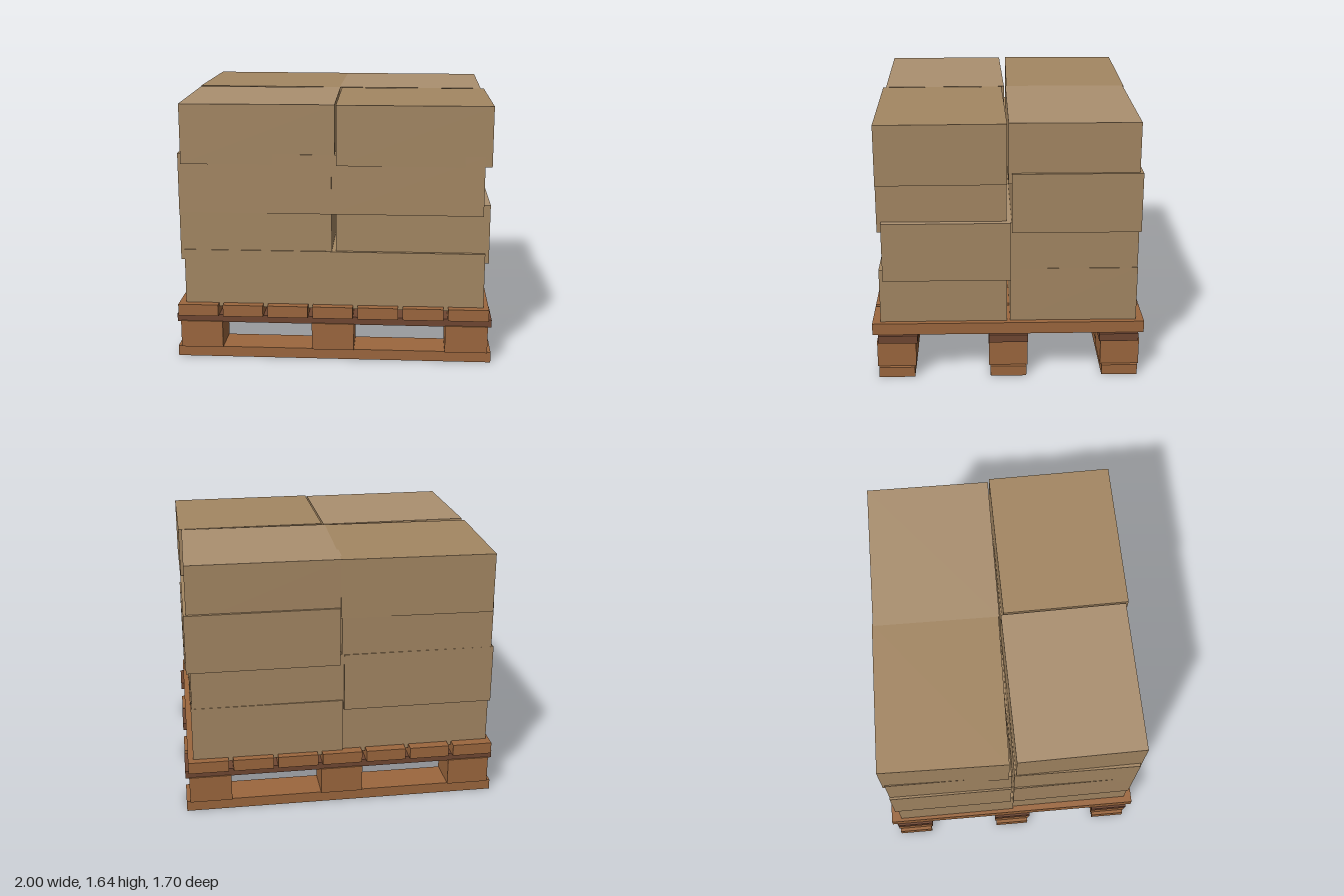
import * as THREE from 'three';

const wood = new THREE.MeshStandardMaterial({ color: 0x9c673e });
const darkWood = new THREE.MeshStandardMaterial({ color: 0x704732 });
const card = new THREE.MeshStandardMaterial({ color: 0xa48763 });
const lightCard = new THREE.MeshStandardMaterial({ color: 0xab9070 });

function box(name, size, position, material, turn = 0) {
  const mesh = new THREE.Mesh(new THREE.BoxGeometry(...size), material);
  mesh.name = name;
  mesh.position.set(...position);
  mesh.rotation.y = turn;
  return mesh;
}

// Three runners, each with blocks and a crossing board, under seven deck planks
function createPallet() {
  const pallet = new THREE.Group();
  pallet.name = 'pallet';
  for (const side of [-1, 0, 1]) {
    const z = side * 0.702;
    pallet.add(box('bottomRunner', [2, 0.067, 0.225], [0, 0.0335, z], wood));
    for (const x of [-0.843, -0.003, 0.843]) {
      pallet.add(box('block', [0.268, 0.175, 0.243], [x, 0.1525, z], wood));
    }
    pallet.add(box('stringerBoard', [2, 0.05, 0.245], [0, 0.26, side * 0.692], darkWood));
  }
  for (let i = 0; i < 7; i++) {
    pallet.add(box('deckPlank', [0.255, 0.075, 1.7], [(i - 3) * 0.285 - 0.003, 0.3225, 0], wood));
  }
  return pallet;
}

// Slightly misaligned cartons per layer: [x, z, turn, light top]
const LAYERS = [
  [[0.468, 0.405, 0.002], [-0.466, 0.403, 0.003], [0.466, -0.409, -0.005], [-0.485, -0.39, 0.004]],
  [[0.493, 0.381, 0.003, true], [-0.491, 0.396, 0.008], [0.463, -0.403, 0.004], [-0.495, -0.408, 0.003]],
  [[0.453, 0.405, -0.003], [-0.487, 0.403, -0.006], [0.486, -0.415, 0.002], [-0.482, -0.405, -0.003]],
  [[0.49, 0.41, 0.0125], [-0.475, 0.405, 0.014, true], [0.467, -0.398, -0.006, true], [-0.48, -0.415, -0.018]],
];

function createCartons() {
  const cartons = new THREE.Group();
  cartons.name = 'cartons';
  LAYERS.forEach((layer, i) => {
    for (const [x, z, turn, light] of layer) {
      const top = light ? lightCard : card;
      const faces = [card, card, top, card, card, card];
      cartons.add(box('carton', [0.955, 0.375, 0.79], [x, 0.5225 + i * 0.309, z], faces, turn));
    }
  });
  return cartons;
}

export function createModel() {
  const model = new THREE.Group();
  model.name = 'loadedPallet';
  model.add(createPallet(), createCartons());
  return model;
}
